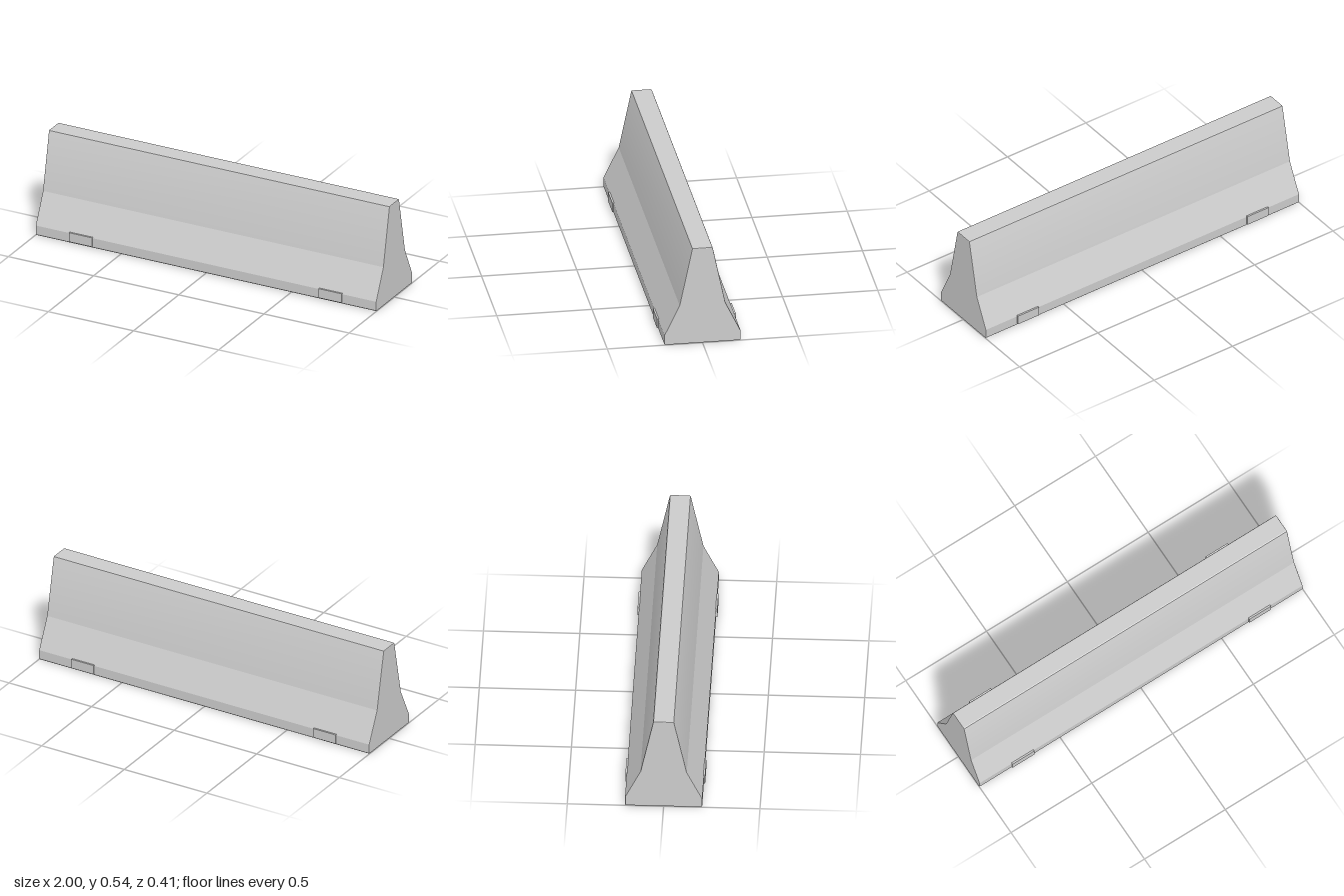
import * as THREE from 'three';
import { toCreasedNormals } from 'three/addons/utils/BufferGeometryUtils.js';

const LENGTH = 2, BEVEL = 0.004;

// Half cross-section (z, y), bottom to top
const HALF_PROFILE = [
  [0.196, 0], [0.2, 0.004], [0.2, 0.055], [0.12, 0.22],
  [0.055, 0.532], [0.0525, 0.538], [0.047, 0.54],
];

export function createModel() {
  const group = new THREE.Group();
  group.name = 'roadBarrier';
  const concrete = new THREE.MeshStandardMaterial({ color: 0xcccccc });

  // Barrier body: mirrored profile swept along x with finely bevelled ends
  const right = HALF_PROFILE.map(([z, y]) => new THREE.Vector2(z, y));
  const left = HALF_PROFILE.map(([z, y]) => new THREE.Vector2(-z, y)).reverse();
  const sweep = new THREE.ExtrudeGeometry(new THREE.Shape([...right, ...left]), {
    depth: LENGTH - 2 * BEVEL,
    bevelEnabled: true,
    bevelThickness: BEVEL,
    bevelSize: BEVEL,
    bevelOffset: -BEVEL,
    bevelSegments: 2,
  });
  sweep.translate(0, 0, BEVEL - LENGTH / 2);
  sweep.rotateY(Math.PI / 2);
  const body = new THREE.Mesh(toCreasedNormals(sweep, 0.2), concrete);
  body.name = 'barrierBody';
  group.add(body);

  // Foot plates standing slightly proud of the base on both faces
  const plateGeometry = new THREE.BoxGeometry(0.135, 0.052, 0.017);
  for (const sx of [-1, 1]) {
    for (const sz of [-1, 1]) {
      const plate = new THREE.Mesh(plateGeometry, concrete);
      plate.name = `${sz > 0 ? 'front' : 'back'}${sx > 0 ? 'Left' : 'Right'}FootPlate`;
      plate.position.set(sx * 0.7325, 0.034, sz * 0.1985);
      group.add(plate);
    }
  }
  return group;
}
